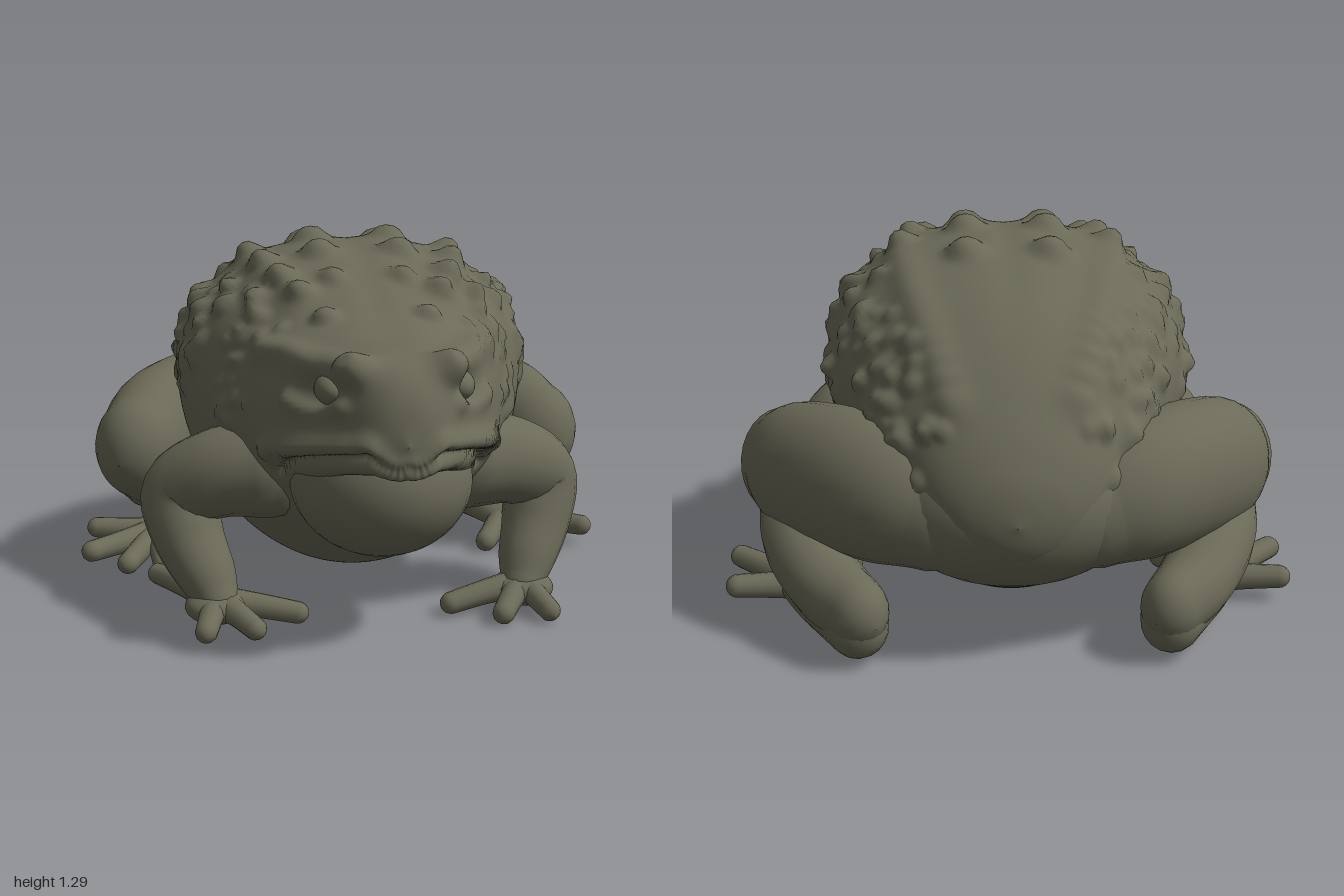
import * as THREE from 'three';

const skin = new THREE.MeshStandardMaterial({ color: 0x6b6a58 });
skin.name = 'olive skin';

// Closed skin over a list of rings with equal point counts
function loft(rings) {
  const n = rings[0].length, pos = [], idx = [];
  rings.forEach(r => r.forEach(p => pos.push(p.x, p.y, p.z)));
  for (let i = 0; i < rings.length - 1; i++) {
    for (let j = 0; j < n; j++) {
      const a = i * n + j, b = i * n + (j + 1) % n;
      idx.push(a, b, a + n, b, b + n, a + n);
    }
  }
  const g = new THREE.BufferGeometry();
  g.setAttribute('position', new THREE.Float32BufferAttribute(pos, 3));
  g.setIndex(idx);
  g.computeVertexNormals();
  return g;
}

const spline = pts => new THREE.CatmullRomCurve3(pts.map(p => new THREE.Vector3(...p)), false, 'catmullrom', 0.5);

// Tapered limb with round ends; points are [x, y, z, sideRadius, upRadius]
function limb(points, sx = 1, ref = [0, 1, 0], segs = 20, sides = 18) {
  const path = spline(points.map(p => [p[0] * sx, p[1], p[2]]));
  const radii = spline(points.map(p => [p[3], p[4] ?? p[3], 0]));
  const up = new THREE.Vector3(...ref), rings = [];
  const ring = (u, shift, k) => {
    const t = path.getTangent(u), r = radii.getPoint(u);
    const side = up.clone().cross(t).normalize(), nrm = t.clone().cross(side);
    const c = path.getPoint(u).addScaledVector(t, shift * (r.x + r.y) / 2);
    rings.push(Array.from({ length: sides }, (_, j) => {
      const a = j / sides * Math.PI * 2;
      return c.clone().addScaledVector(side, Math.cos(a) * r.x * k).addScaledVector(nrm, Math.sin(a) * r.y * k);
    }));
  };
  const cap = 6;
  for (let i = 0; i < cap; i++) {
    const a = i / cap * Math.PI / 2;
    ring(0, -Math.cos(a), Math.max(Math.sin(a), 0.01));
  }
  for (let i = 0; i <= segs; i++) ring(i / segs, 0, 1);
  for (let i = 1; i <= cap; i++) {
    const a = i / cap * Math.PI / 2;
    ring(1, Math.sin(a), Math.max(Math.cos(a), 0.01));
  }
  return loft(rings);
}

// Body stations, rear to snout: z, half width, bottom, widest height, top, squareness
const stations = [
  [-0.99, 0.001, 0.519, 0.52, 0.521, 1], [-0.975, 0.1, 0.44, 0.53, 0.62, 1],
  [-0.945, 0.19, 0.38, 0.55, 0.70, 1], [-0.88, 0.28, 0.31, 0.59, 0.81, 1],
  [-0.75, 0.38, 0.21, 0.66, 0.97, 1], [-0.6, 0.47, 0.14, 0.72, 1.09, 0.98],
  [-0.4, 0.57, 0.09, 0.77, 1.18, 0.96], [-0.2, 0.615, 0.07, 0.80, 1.24, 0.95],
  [0, 0.615, 0.07, 0.80, 1.25, 0.95], [0.2, 0.555, 0.12, 0.77, 1.21, 0.92],
  [0.4, 0.45, 0.26, 0.72, 1.11, 0.87], [0.5, 0.41, 0.38, 0.70, 1.06, 0.82],
  [0.6, 0.365, 0.48, 0.70, 1.03, 0.78], [0.7, 0.315, 0.55, 0.70, 1.01, 0.76],
  [0.8, 0.245, 0.60, 0.72, 1.0, 0.78], [0.9, 0.16, 0.63, 0.74, 0.965, 0.85],
  [0.96, 0.085, 0.66, 0.75, 0.88, 0.95], [0.985, 0.001, 0.739, 0.74, 0.741, 1],
];
const shapeA = spline(stations.map(s => s.slice(0, 3)));
const shapeB = spline(stations.map(s => s.slice(3)));
const bend = (v, e) => Math.sign(v) * Math.abs(v) ** e;

// Plain body surface with eye sockets and a spine groove
function basePoint(u, a) {
  const { x: z, y: w, z: bottom } = shapeA.getPoint(u), { x: mid, y: top, z: e } = shapeB.getPoint(u);
  const s = Math.sin(a), k = s > 0 ? e : 1;
  let x = w * bend(Math.cos(a), k), y = mid + (s > 0 ? top - mid : mid - bottom) * bend(s, k);
  const d = (Math.abs(x) - 0.25) ** 2 + (y - 0.87) ** 2 + (z - 0.77) ** 2;
  x *= 1 - 0.2 * Math.exp(-d / 0.007);
  if (s > 0) y -= 0.012 * Math.exp(-((x / 0.05) ** 2)) * Math.max(0, 1 - Math.abs(z) / 0.8);
  return new THREE.Vector3(x, y, z);
}

function stationAt(z) {
  let lo = 0, hi = 1;
  for (let i = 0; i < 20; i++) {
    const m = (lo + hi) / 2;
    if (shapeA.getPoint(m).x < z) lo = m; else hi = m;
  }
  return lo;
}

// Angle on the upper body at a given z and x
function angleFor(z, x) {
  const u = stationAt(z), e = shapeB.getPoint(u).z;
  return Math.acos(Math.min(1, x / shapeA.getPoint(u).y) ** (1 / e));
}

// Skin relief: warts and ridges, each with points, spread, height and falloff power
function makeRelief() {
  const relief = [];
  const wart = (z, a, r, h) => relief.push({ pts: [basePoint(stationAt(z), a)], r, h, power: 1.7 });
  const ridge = (path, r, h) => {
    const c = spline(path.map(([z, a]) => [z, a, 0]));
    const pts = c.getPoints(30).map(p => basePoint(stationAt(p.x), p.y));
    relief.push({ pts, r, h, power: 1 });
  };
  // Upper lip, mouth slit, lower lip
  for (const [a, r, h] of [[-0.12, 0.035, 0.026], [-0.42, 0.018, -0.03], [-0.75, 0.035, 0.022]]) {
    ridge([[0.55, a - 0.12], [0.68, a], [0.8, a], [0.9, a], [0.95, a - 0.1], [0.97, -1.5]], r, h);
  }
  // Brows, cheek folds, and edges of the back
  const across = pairs => pairs.map(([z, x]) => [z, angleFor(z, x)]);
  ridge(across([[0.86, 0.12], [0.8, 0.18], [0.68, 0.25], [0.56, 0.3], [0.45, 0.36]]), 0.05, 0.04);
  ridge([[0.86, 0.35], [0.77, 0.22], [0.66, 0.3]], 0.03, 0.02);
  ridge(across([[0.35, 0.24], [0.15, 0.32], [-0.08, 0.36], [-0.4, 0.32], [-0.8, 0.2]]), 0.06, 0.025);
  // Large paired warts
  for (const [z, x, r] of [[-0.29, 0.14, 0.058], [-0.07, 0.14, 0.058], [0.13, 0.14, 0.055], [0.3, 0.12, 0.04],
    [0.48, 0.17, 0.04], [0.85, 0.14, 0.045], [-0.08, 0.35, 0.045], [0.1, 0.32, 0.045], [0.24, 0.28, 0.045],
    [0.34, 0.23, 0.04], [-0.08, 0.54, 0.045]]) {
    wart(z, angleFor(z, x), r, r * 0.8);
  }
  // Small warts over the flanks
  let seed = 7;
  const rand = () => (seed = (seed * 16807) % 2147483647) / 2147483647;
  for (let i = 0; i < 110; i++) {
    const r = 0.02 + rand() * 0.018;
    wart(-0.85 + rand() * 1.3, -0.1 + rand() * 0.95, r, r * 0.5);
  }
  return relief;
}

function bodyGeometry(rows = 200, cols = 160) {
  const relief = makeRelief(), rings = [], d = 0.002;
  for (let i = 0; i <= rows; i++) {
    const u = i / rows;
    rings.push(Array.from({ length: cols }, (_, j) => {
      const a = j / cols * Math.PI * 2, p = basePoint(u, a);
      const along = basePoint(Math.min(1, u + d), a).sub(basePoint(Math.max(0, u - d), a));
      const out = basePoint(u, a + 0.02).sub(basePoint(u, a - 0.02)).cross(along).normalize();
      const m = new THREE.Vector3(Math.abs(p.x), p.y, p.z);
      let lift = 0;
      for (const { pts, r, h, power } of relief) {
        let near = Infinity;
        for (const q of pts) near = Math.min(near, m.distanceToSquared(q));
        if (near < 9 * r * r) lift += h * Math.exp(-((near / (r * r)) ** power));
      }
      // Relief fades out at the snout tip
      const fade = THREE.MathUtils.clamp((0.985 - p.z) / 0.03, 0, 1);
      return p.addScaledVector(out, THREE.MathUtils.clamp(lift, -0.04, 0.07) * fade);
    }));
  }
  return loft(rings);
}

export function createModel() {
  const model = new THREE.Group();
  model.name = 'toad';
  const add = (name, geo, parent = model) => {
    const m = new THREE.Mesh(geo, skin);
    m.name = name;
    parent.add(m);
    return m;
  };
  const ball = (name, p, r, parent = model) => {
    const m = add(name, new THREE.SphereGeometry(1, 32, 22), parent);
    m.position.set(...p);
    m.scale.set(...r);
  };

  add('body', bodyGeometry());
  ball('throat', [0, 0.54, 0.55], [0.3, 0.26, 0.32]);
  ball('rump', [0, 0.5, -0.71], [0.42, 0.28, 0.265]);

  for (const sx of [1, -1]) {
    const label = sx > 0 ? 'left' : 'right';
    ball(label + 'Eye', [sx * 0.195, 0.88, 0.77], [0.055, 0.05, 0.075]);

    // Front leg with spread fingers
    const front = new THREE.Group();
    front.name = label + 'FrontLeg';
    model.add(front);
    add('arm', limb([[0.34, 0.52, 0.33, 0.17], [0.5, 0.5, 0.29, 0.155], [0.635, 0.42, 0.23, 0.135],
      [0.615, 0.28, 0.28, 0.122], [0.56, 0.16, 0.36, 0.1], [0.53, 0.09, 0.41, 0.075]], sx, [0, 0, 1], 30), front);
    ball('palm', [sx * 0.53, 0.07, 0.41], [0.11, 0.06, 0.1], front);
    for (const [x, y, z] of [[0.265, 0.045, 0.46], [0.42, 0.042, 0.575], [0.58, 0.042, 0.575], [0.715, 0.08, 0.09]]) {
      add('finger', limb([[0.53, 0.08, 0.4, 0.055], [(x + 0.53) / 2, (y + 0.09) / 2, (z + 0.4) / 2, 0.043],
        [x, y, z, 0.038]], sx, [0, 1, 0], 10, 12), front);
    }

    // Folded hind leg with long foot
    const hind = new THREE.Group();
    hind.name = label + 'HindLeg';
    model.add(hind);
    add('thigh', limb([[0.26, 0.48, -0.74, 0.17, 0.2], [0.39, 0.51, -0.68, 0.195, 0.235], [0.53, 0.515, -0.57, 0.2, 0.245],
      [0.68, 0.49, -0.41, 0.19, 0.235], [0.755, 0.46, -0.27, 0.165, 0.2]], sx, [0, 1, 0], 28, 28), hind);
    add('shank', limb([[0.74, 0.37, -0.29, 0.12, 0.13], [0.7, 0.28, -0.5, 0.13, 0.135],
      [0.6, 0.21, -0.7, 0.125, 0.125], [0.5, 0.18, -0.84, 0.1, 0.12]], sx), hind);
    add('foot', limb([[0.5, 0.13, -0.83, 0.1, 0.11], [0.62, 0.095, -0.6, 0.1, 0.075],
      [0.71, 0.075, -0.38, 0.1, 0.055]], sx), hind);
    for (const [x, y, z] of [[0.93, 0.09, -0.46], [0.95, 0.08, -0.2], [0.82, 0.045, -0.14], [0.69, 0.042, -0.13], [0.56, 0.042, -0.18]]) {
      add('toe', limb([[0.7, 0.075, -0.42, 0.055], [(x + 0.7) / 2, (y + 0.075) / 2, (z - 0.42) / 2, 0.045],
        [x, y, z, 0.04]], sx, [0, 1, 0], 10, 12), hind);
    }
  }
  return model;
}
